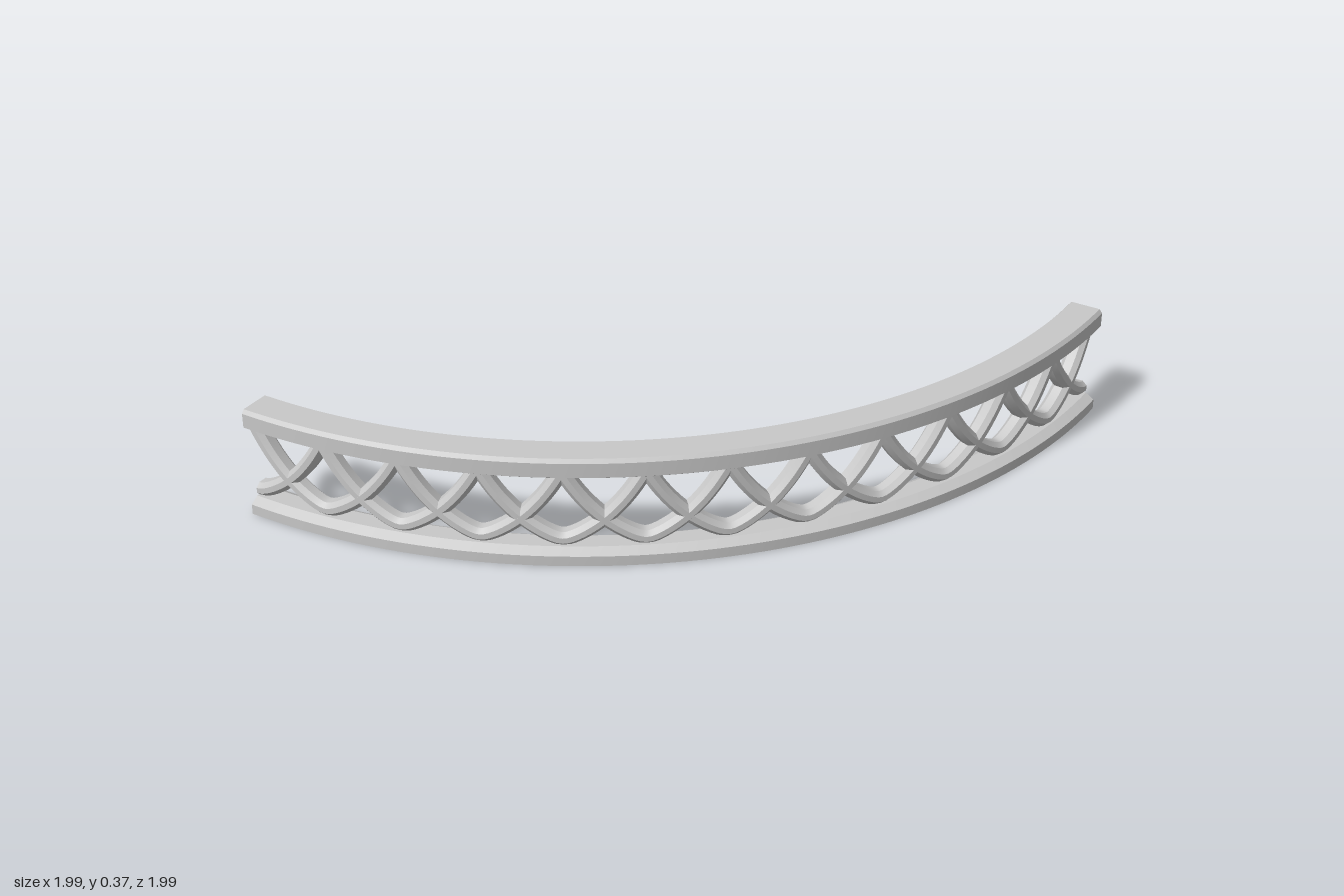
import * as THREE from 'three';

const CENTRE = -0.97;          // arc centre on both x and z
const RADIUS = 1.908;          // middle of the rails
const QUARTER = Math.PI / 2;
const BAYS = 12;
const STEP = QUARTER / BAYS;

// Point on the curved wall: angle along the arc, distance from the centre, height
function onArc(angle, r, y) {
  return new THREE.Vector3(CENTRE + r * Math.sin(angle), y, CENTRE + r * Math.cos(angle));
}

// Skins a list of closed rings: smooth along the length, sharp across the profile, capped ends
function skin(rings) {
  const pos = [], index = [];
  const n = rings[0].length, last = rings.length - 1;
  for (let j = 0; j < n; j++) {
    const base = pos.length / 3;
    rings.forEach((ring, i) => {
      pos.push(...ring[j].toArray(), ...ring[(j + 1) % n].toArray());
      if (i < last) {
        const a = base + i * 2, b = a + 1, d = a + 2, c = a + 3;
        index.push(a, d, c, a, c, b);
      }
    });
  }
  for (const [ring, flip] of [[rings[0], false], [rings[last], true]]) {
    const base = pos.length / 3;
    ring.forEach(p => pos.push(...p.toArray()));
    for (let j = 1; j < n - 1; j++) {
      if (flip) index.push(base, base + j + 1, base + j);
      else index.push(base, base + j, base + j + 1);
    }
  }
  const g = new THREE.BufferGeometry();
  g.setAttribute('position', new THREE.Float32BufferAttribute(pos, 3));
  g.setIndex(index);
  g.computeVertexNormals();
  return g;
}

// Rail: a (radial, height) profile swept round the quarter circle
function railGeometry(profile) {
  const rings = [];
  for (let i = 0; i <= 64; i++) {
    const a = QUARTER * i / 64;
    rings.push(profile.map(([u, y]) => onArc(a, RADIUS + u, y)));
  }
  return skin(rings);
}

// Strut: a U-shaped bar from t0 to t1, where t = 0 is its lowest point and 1 its tip
const LOW = 0.07, TIP = 0.305, ROUND = 0.12;
const BAR = [[0.03, -0.009], [0.03, 0.009], [0.015, 0.023], [-0.015, 0.023],
  [-0.03, 0.009], [-0.03, -0.009], [-0.015, -0.023], [0.015, -0.023]];

// Height and slope of the U: a rounded V that steepens towards its tips
function strutCurve(t) {
  const root = Math.hypot(t, ROUND), k = 0.55 / (Math.hypot(1, ROUND) - ROUND);
  const rise = k * (root - ROUND) + 0.45 * Math.abs(t) ** 3;
  const slope = k * t / root + 1.35 * t * Math.abs(t);
  return [LOW + (TIP - LOW) * rise, (TIP - LOW) * slope / (STEP * RADIUS)];
}

function strutGeometry(centreAngle, t0, t1) {
  const rings = [], count = 16 * (t1 - t0);
  for (let i = 0; i <= count; i++) {
    const t = t0 + (t1 - t0) * i / count;
    const [y, slope] = strutCurve(t);
    const phi = Math.atan(slope);
    rings.push(BAR.map(([u, v]) => {
      let along = -v * Math.sin(phi), up = v * Math.cos(phi);
      // tips are cut level, flush with the underside of the handrail
      if (Math.abs(t) > 0.999) {
        along -= up / slope;
        up = 0;
      }
      return onArc(centreAngle + t * STEP + along / RADIUS, RADIUS + u, y + up);
    }));
  }
  return skin(rings);
}

export function createModel() {
  const model = new THREE.Group();
  model.name = 'curvedBalustrade';
  const stone = new THREE.MeshStandardMaterial({ color: 0xc8c8c8 });
  stone.name = 'lightGrey';

  const add = (name, geometry, parent = model) => {
    const mesh = new THREE.Mesh(geometry, stone);
    mesh.name = name;
    parent.add(mesh);
  };

  // Handrail with chamfered edges
  add('handrail', railGeometry([[-0.042, 0.301], [0.042, 0.301], [0.059, 0.312], [0.059, 0.36],
    [0.049, 0.372], [-0.049, 0.372], [-0.059, 0.36], [-0.059, 0.312]]));

  // Base rail with sloping shoulders
  add('baseRail', railGeometry([[-0.059, 0], [0.059, 0], [0.059, 0.034],
    [0.03, 0.052], [-0.03, 0.052], [-0.059, 0.034]]));

  // Interlaced U struts, with half struts at both ends
  const lattice = new THREE.Group();
  lattice.name = 'lattice';
  model.add(lattice);
  for (let k = 0; k <= BAYS; k++) {
    add('strut', strutGeometry(k * STEP, k === 0 ? 0 : -1, k === BAYS ? 0 : 1), lattice);
  }
  return model;
}
